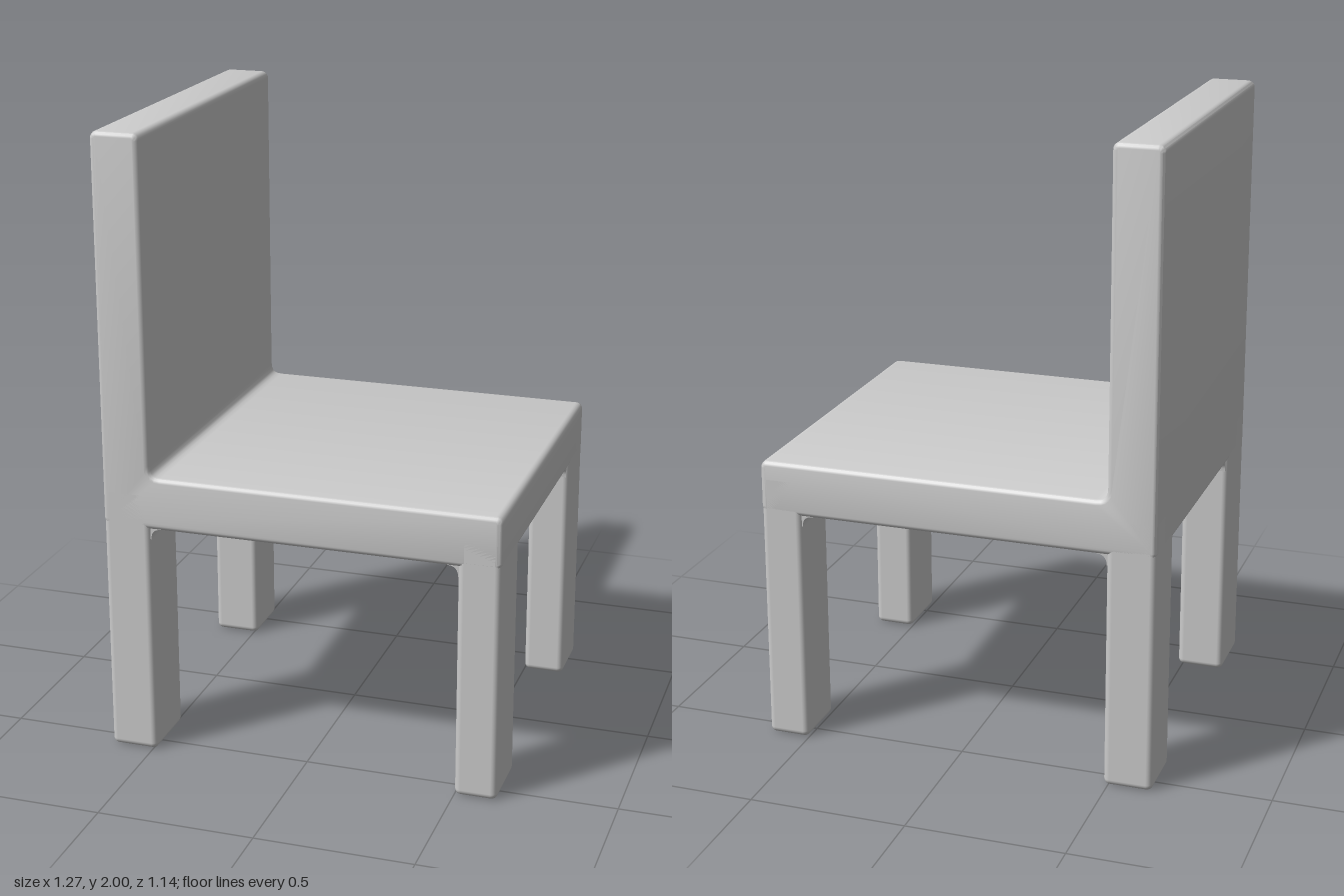
import * as THREE from 'three';
import { toCreasedNormals } from 'three/addons/utils/BufferGeometryUtils.js';
import { RoundedBoxGeometry } from 'three/addons/geometries/RoundedBoxGeometry.js';

const EDGE = 0.015;      // bevel on the outer edges
const FILLET = 0.035;    // soft inner corners
const SEAT_TOP = 0.93, SEAT_BOTTOM = 0.76;

// closed outline from [x, y, cornerRadius] points
function roundedOutline(points) {
  const shape = new THREE.Shape();
  const n = points.length;
  points.forEach(([x, y, r], i) => {
    const p = new THREE.Vector2(x, y);
    const toward = ([qx, qy]) => new THREE.Vector2(qx, qy).sub(p).setLength(r).add(p);
    const a = toward(points[(i + n - 1) % n]);
    const b = toward(points[(i + 1) % n]);
    if (i === 0) shape.moveTo(a.x, a.y);
    else shape.lineTo(a.x, a.y);
    shape.quadraticCurveTo(x, y, b.x, b.y);
  });
  shape.closePath();
  return shape;
}

export function createModel() {
  const group = new THREE.Group();
  const material = new THREE.MeshStandardMaterial({ color: 0xcccccc });
  const add = (name, geometry, parent = group) => {
    const mesh = new THREE.Mesh(geometry, material);
    mesh.name = name;
    parent.add(mesh);
    return mesh;
  };

  // seat and backrest: one L profile, inset by the bevel and extruded across the width
  const e = EDGE, r = 0.008;
  const profile = roundedOutline([
    [-0.64 + e, SEAT_BOTTOM + e, r],
    [0.635 - e, SEAT_BOTTOM + e, r],
    [0.635 - e, SEAT_TOP - e, r],
    [-0.485 - e, SEAT_TOP - e, FILLET + e],
    [-0.485 - e, 2 - e, r],
    [-0.64 + e, 2 - e, r],
  ]);
  const body = new THREE.ExtrudeGeometry(profile, {
    depth: 1.14 - 2 * e, bevelSize: e, bevelThickness: e, bevelSegments: 3, curveSegments: 5,
  });
  body.translate(0, 0, -0.57 + e);
  add('seatAndBackrest', toCreasedNormals(body, 0.7));

  // concave strip that softens the joint of a leg and the seat
  function filletStrip(length) {
    const s = new THREE.Shape();
    s.moveTo(-0.02, 0.02);
    s.lineTo(-0.02, -FILLET);
    s.lineTo(0, -FILLET);
    s.quadraticCurveTo(0, 0, FILLET, 0);
    s.lineTo(FILLET, 0.02);
    s.closePath();
    const g = new THREE.ExtrudeGeometry(s, { depth: length, bevelEnabled: false, curveSegments: 6 });
    g.translate(0, 0, -length / 2);
    return toCreasedNormals(g, 0.7);
  }

  // legs run up into the seat, flush with its outer faces
  const legTop = 0.89;
  const rows = [
    { name: 'rear', x0: -0.64, x1: -0.485, inward: 1 },
    { name: 'front', x0: 0.5, x1: 0.635, inward: -1 },
  ];
  const sides = [
    { name: 'Left', z0: 0.35, z1: 0.57, inward: -1 },
    { name: 'Right', z0: -0.57, z1: -0.37, inward: 1 },
  ];
  for (const row of rows) {
    for (const side of sides) {
      const leg = new THREE.Group();
      leg.name = `${row.name}${side.name}Leg`;
      const w = row.x1 - row.x0, d = side.z1 - side.z0;
      leg.position.set((row.x0 + row.x1) / 2, 0, (side.z0 + side.z1) / 2);
      add('legPost', new RoundedBoxGeometry(w, legTop, d, 3, 0.02), leg).position.y = legTop / 2;

      const sideFillet = add('sideFillet', filletStrip(d - 0.02), leg);
      sideFillet.position.set(row.inward * w / 2, SEAT_BOTTOM, 0);
      sideFillet.rotation.y = row.inward > 0 ? 0 : Math.PI;

      const crossFillet = add('crossFillet', filletStrip(w - 0.02), leg);
      crossFillet.position.set(0, SEAT_BOTTOM, side.inward * d / 2);
      crossFillet.rotation.y = -side.inward * Math.PI / 2;
      group.add(leg);
    }
  }
  return group;
}
